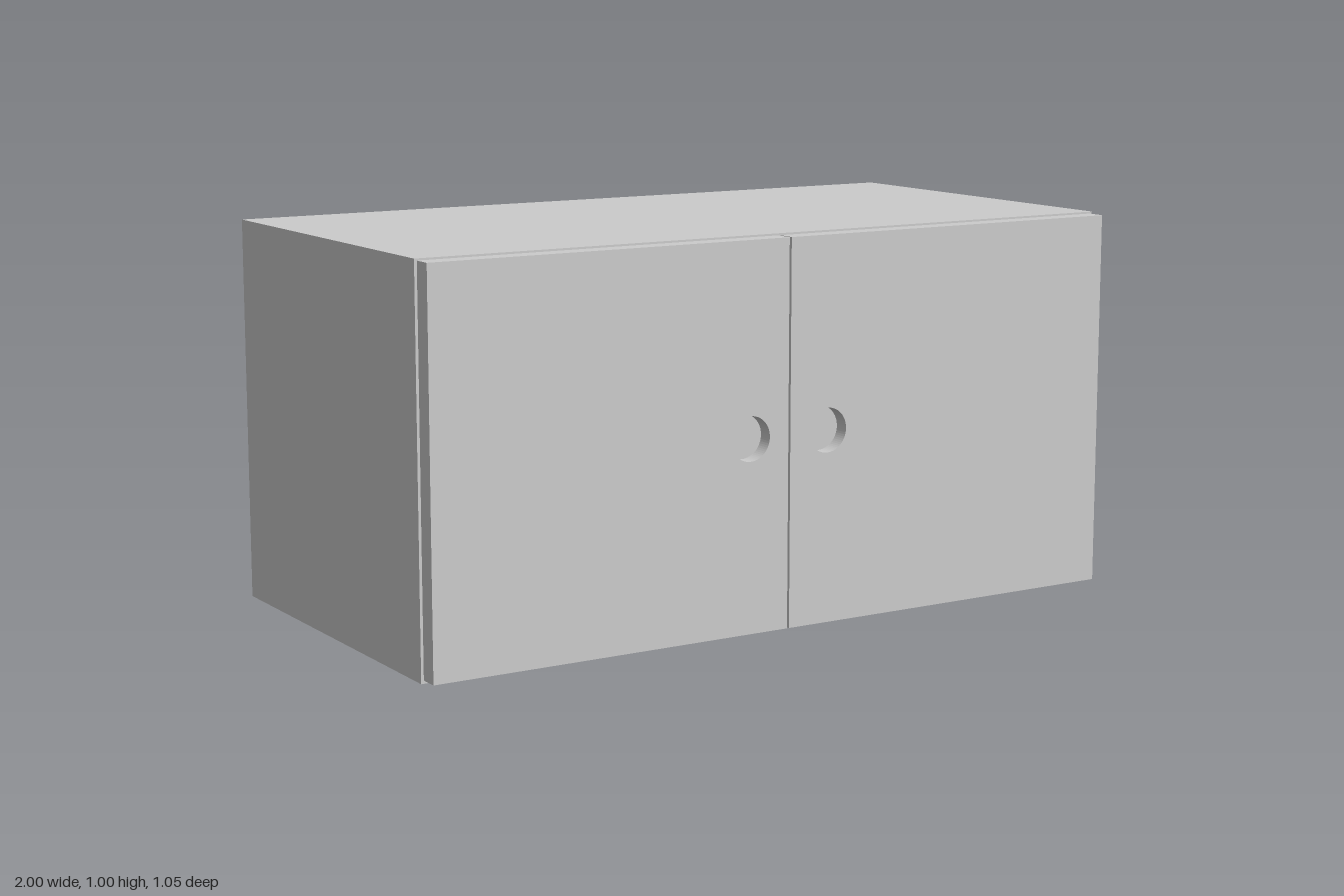
import * as THREE from 'three';

const material = new THREE.MeshStandardMaterial({ color: 0xcccccc });
const WALL = 0.05;       // carcass board thickness
const BACK = -0.525;     // rear edge of the carcass
const FRONT = 0.475;     // front edge of the carcass
const DOOR = 0.05;       // door thickness

function rectangle(path, x0, y0, x1, y1) {
  path.moveTo(x0, y0);
  path.lineTo(x1, y0);
  path.lineTo(x1, y1);
  path.lineTo(x0, y1);
  path.closePath();
  return path;
}

// Extrudes a front-facing outline from z to z + depth
function board(name, shape, z, depth) {
  const geometry = new THREE.ExtrudeGeometry(shape, { depth, bevelEnabled: false, curveSegments: 32 });
  geometry.translate(0, 0, z);
  const mesh = new THREE.Mesh(geometry, material);
  mesh.name = name;
  return mesh;
}

// Door with a round finger recess near the centre line; side is +1 (left) or -1 (right)
function createDoor(name, side) {
  const door = new THREE.Group();
  door.name = name;
  const xs = [side * 0.003, side * 0.993].sort((a, b) => a - b);
  const outline = () => rectangle(new THREE.Shape(), xs[0], 0.008, xs[1], 0.995);
  const skin = 0.01;
  const face = outline();
  face.holes.push(new THREE.Path().absarc(side * 0.115, 0.503, 0.057, 0, Math.PI * 2, true));
  door.add(
    board(name + 'Backing', outline(), FRONT, skin),
    board(name + 'Face', face, FRONT + skin, DOOR - skin)
  );
  return door;
}

export function createModel() {
  const model = new THREE.Group();
  model.name = 'wallCabinet';

  // Carcass: top, bottom and sides as one hollow frame
  const frame = rectangle(new THREE.Shape(), -1, 0, 1, 1);
  frame.holes.push(rectangle(new THREE.Path(), -1 + WALL, WALL, 1 - WALL, 1 - WALL));
  model.add(board('carcass', frame, BACK, FRONT - BACK));

  // Recessed back panel with a half-round cable notch at the bottom
  const x = 1 - WALL, notch = 0.075;
  const panel = new THREE.Shape();
  panel.moveTo(-x, WALL);
  panel.lineTo(-notch, WALL);
  panel.absarc(0, WALL, notch, Math.PI, 0, true);
  panel.lineTo(x, WALL);
  panel.lineTo(x, 1 - WALL);
  panel.lineTo(-x, 1 - WALL);
  panel.closePath();
  model.add(board('backPanel', panel, BACK + 0.065, 0.05));

  // Pair of doors
  model.add(createDoor('leftDoor', 1), createDoor('rightDoor', -1));
  return model;
}
